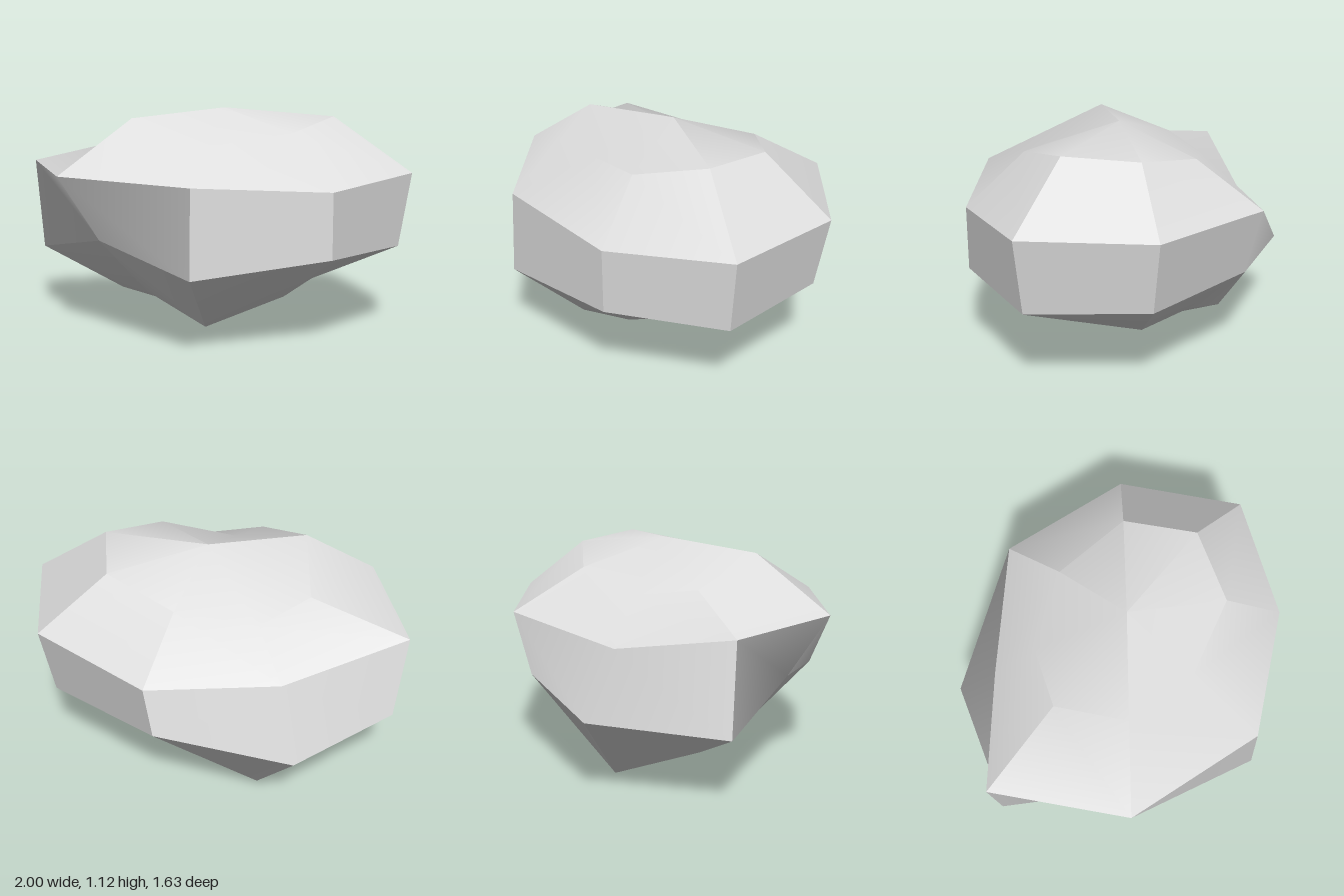
import * as THREE from 'three';

// Cross-sections of the boulder, top to bottom; each runs clockwise from the back.
const rings = [
  [[0.04, 0.98, -0.46], [0.43, 1.05, -0.37], [0.6, 1.075, -0.04], [0.43, 1.01, 0.28],
    [0.04, 0.95, 0.38], [-0.36, 1.075, 0.31], [-0.5, 0.94, -0.04], [-0.33, 0.9, -0.31]],
  [[0.04, 0.775, -0.82], [0.7, 0.785, -0.61], [1, 0.795, -0.04], [0.65, 0.755, 0.48],
    [0.04, 0.8, 0.79], [-0.66, 0.81, 0.57], [-1, 0.82, -0.04], [-0.5, 0.69, -0.45]],
  [[0.04, 0.445, -0.74], [0.66, 0.43, -0.56], [0.94, 0.42, -0.04], [0.65, 0.435, 0.48],
    [0.04, 0.38, 0.81], [-0.5, 0.48, 0.43], [-0.96, 0.35, -0.04], [-0.63, 0.39, -0.63]],
  [[0.04, 0.18, -0.44], [0.38, 0.18, -0.35], [0.5, 0.23, -0.04], [0.4, 0.21, 0.3],
    [0.04, 0.08, 0.46], [-0.3, 0.2, 0.28], [-0.52, 0.14, -0.04], [-0.38, 0.03, -0.42]],
].map((ring) => ring.map((p) => new THREE.Vector3(...p)));
const topPole = new THREE.Vector3(0.04, 1.115, -0.03);
const bottomPole = new THREE.Vector3(0.04, 0, -0.04);
const creaseAngle = THREE.MathUtils.degToRad(28);

// Facets with three or four corners, counter-clockwise from outside.
function boulderFacets() {
  const facets = [];
  const n = rings[0].length;
  for (let i = 0; i < n; i++) {
    const j = (i + 1) % n;
    facets.push([topPole, rings[0][j], rings[0][i]]);
    facets.push([bottomPole, rings[3][i], rings[3][j]]);
    for (let r = 0; r < rings.length - 1; r++) {
      facets.push([rings[r][j], rings[r + 1][j], rings[r + 1][i], rings[r][i]]);
    }
  }
  return facets;
}

// One normal per whole facet, so that bent four-sided facets still shade as one plane.
function facetNormal(f) {
  const a = f[2].clone().sub(f[0]);
  const b = f[f.length === 4 ? 3 : 2].clone().sub(f[1]);
  return (f.length === 4 ? a.cross(b) : b.cross(a).negate()).normalize();
}

function boulderGeometry() {
  const facets = boulderFacets();
  const normals = facets.map(facetNormal);
  const positionData = [], normalData = [];
  facets.forEach((facet, k) => {
    // blend with the neighbours at a corner unless the edge is sharp
    const cornerNormals = facet.map((corner) => {
      const sum = new THREE.Vector3();
      facets.forEach((other, m) => {
        if (other.includes(corner) && normals[m].angleTo(normals[k]) <= creaseAngle) sum.add(normals[m]);
      });
      return sum.normalize();
    });
    for (let c = 1; c < facet.length - 1; c++) {
      for (const v of [0, c, c + 1]) {
        positionData.push(...facet[v].toArray());
        normalData.push(...cornerNormals[v].toArray());
      }
    }
  });
  const geometry = new THREE.BufferGeometry();
  geometry.setAttribute('position', new THREE.Float32BufferAttribute(positionData, 3));
  geometry.setAttribute('normal', new THREE.Float32BufferAttribute(normalData, 3));
  return geometry;
}

export function createModel() {
  const group = new THREE.Group();
  group.name = 'rock';

  const stone = new THREE.MeshStandardMaterial({ color: 0xdedede });
  stone.name = 'stone grey';

  const boulder = new THREE.Mesh(boulderGeometry(), stone);
  boulder.name = 'boulder';
  group.add(boulder);
  return group;
}
